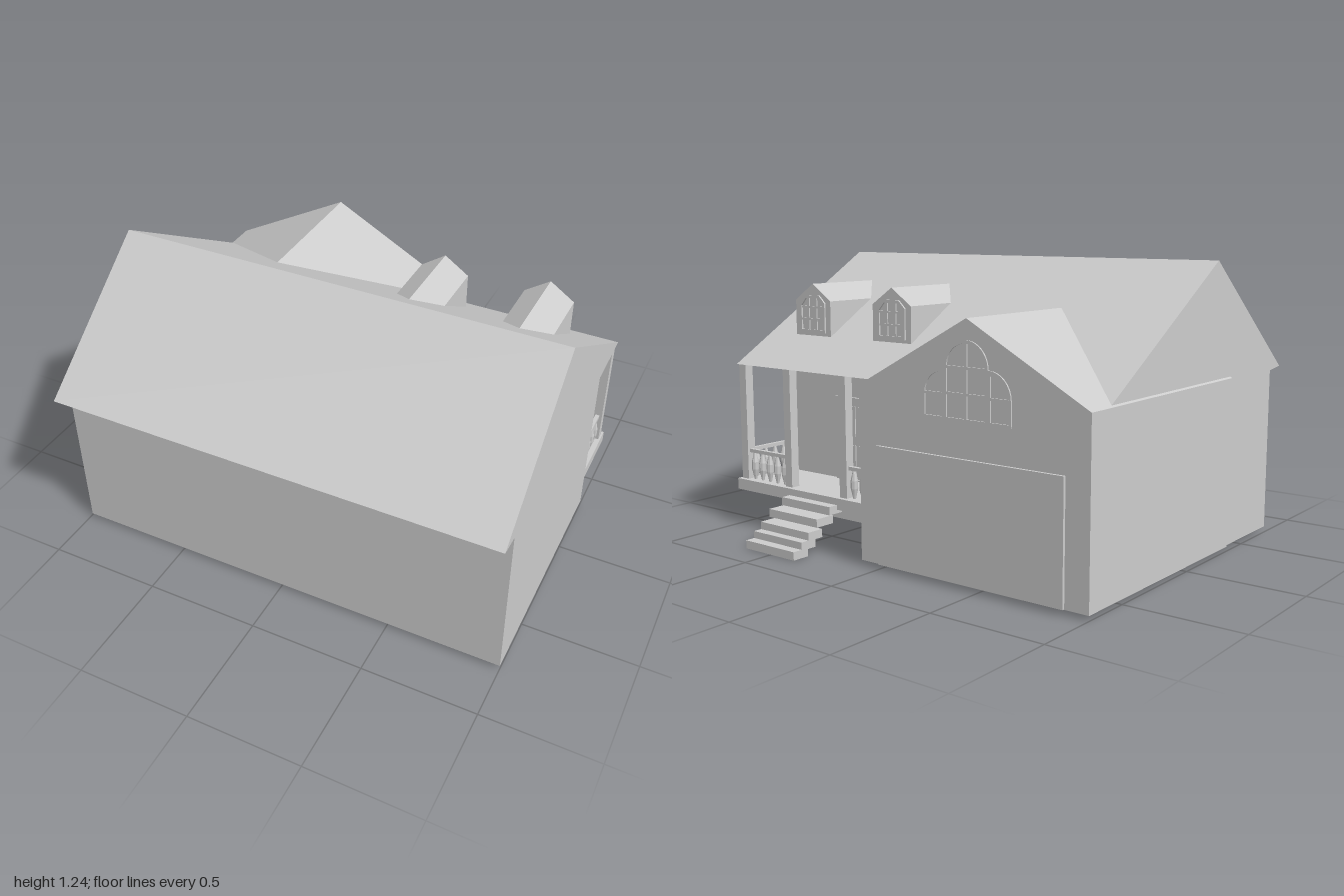
import * as THREE from 'three';

const mat = new THREE.MeshStandardMaterial({ color: 0xcccccc, flatShading: true, side: THREE.DoubleSide });

function add(parent, name, geo) {
  const m = new THREE.Mesh(geo, mat);
  m.name = name;
  parent.add(m);
  return m;
}

// Box given by its min/max on each axis
function box(parent, name, x0, x1, y0, y1, z0, z1) {
  const m = add(parent, name, new THREE.BoxGeometry(x1 - x0, y1 - y0, z1 - z0));
  m.position.set((x0 + x1) / 2, (y0 + y1) / 2, (z0 + z1) / 2);
  return m;
}

const poly = (pts) => new THREE.Shape(pts.map(([a, b]) => new THREE.Vector2(a, b)));

const extrude = (shape, depth) =>
  new THREE.ExtrudeGeometry(shape, { depth, bevelEnabled: false, curveSegments: 10 });

// (z, y) profile running along x
const alongX = (pts, x0, x1) =>
  extrude(poly(pts), x1 - x0).rotateY(-Math.PI / 2).translate(x1, 0, 0);

// (x, y) profile running along z
const alongZ = (shape, z0, z1) => extrude(shape, z1 - z0).translate(0, 0, z0);

// House-shaped outline: walls with a gable on top
const gable = (x0, x1, y0, eave, ridge) =>
  poly([[x0, y0], [x1, y0], [x1, eave], [(x0 + x1) / 2, ridge], [x0, eave]]);

// Flat frame: outline with an inner hole
function frame(parent, name, outer, inner, z0, z1) {
  outer.holes.push(inner);
  add(parent, name, alongZ(outer, z0, z1));
}

function arch(cx, r, y0, spring) {
  const s = new THREE.Shape();
  s.moveTo(cx - r, y0);
  s.lineTo(cx + r, y0);
  s.lineTo(cx + r, spring);
  s.absarc(cx, spring, r, 0, Math.PI, false);
  s.closePath();
  return s;
}

// Side light with a quarter-round top falling away from the centre
function quarter(xIn, dir, w, y0, spring) {
  const s = new THREE.Shape();
  s.moveTo(xIn, y0);
  s.lineTo(xIn + dir * w, y0);
  s.lineTo(xIn + dir * w, spring);
  for (let i = 1; i <= 8; i++) {
    const a = (i / 8) * Math.PI / 2;
    s.lineTo(xIn + dir * w * Math.cos(a), spring + w * Math.sin(a));
  }
  s.closePath();
  return s;
}

function dormer(cx) {
  const g = new THREE.Group();
  g.name = 'dormer';
  const z = -0.373, w = 0.11;
  add(g, 'dormerBody', alongZ(gable(cx - w, cx + w, 0.873, 1.035, 1.11), z, 0.018));
  // Window with a clipped top and 3 x 3 panes
  const outline = (e) => poly([[cx - 0.08 + e, 0.89 + e], [cx + 0.08 - e, 0.89 + e], [cx + 0.08 - e, 1.025 - e],
    [cx + 0.045 - e / 2, 1.058 - e], [cx - 0.045 + e / 2, 1.058 - e], [cx - 0.08 + e, 1.025 - e]]);
  frame(g, 'dormerWindowFrame', outline(0), outline(0.013), z - 0.008, z + 0.002);
  for (const s of [-1, 1]) {
    const x = cx + s * 0.024;
    box(g, 'dormerMuntin', x - 0.004, x + 0.004, 0.9, 1.048, z - 0.006, z + 0.002);
  }
  for (const y of [0.95, 1.005]) box(g, 'dormerMuntin', cx - 0.07, cx + 0.07, y - 0.004, y + 0.004, z - 0.006, z + 0.002);
  return g;
}

// Railing between two floor points, with turned balusters
function railing(xa, za, xb, zb, count) {
  const g = new THREE.Group();
  g.name = 'railing';
  const t = 0.009;
  box(g, 'handrail', Math.min(xa, xb) - t, Math.max(xa, xb) + t, 0.338, 0.354, Math.min(za, zb) - t, Math.max(za, zb) + t);
  const profile = [[0.006, 0], [0.009, 0.015], [0.016, 0.045], [0.016, 0.08], [0.009, 0.11], [0.006, 0.124]]
    .map(([r, y]) => new THREE.Vector2(r, y));
  const geo = new THREE.LatheGeometry(profile, 8);
  for (let i = 0; i < count; i++) {
    const f = (i + 0.5) / count;
    add(g, 'baluster', geo).position.set(xa + (xb - xa) * f, 0.215, za + (zb - za) * f);
  }
  return g;
}

export function createModel() {
  const house = new THREE.Group();
  house.name = 'house';

  // Main block and its roof
  box(house, 'mainWalls', -0.99, 1, 0.02, 0.737, -0.31, 0.76);
  add(house, 'mainRoof', alongX([[0.86, 0.745], [0.225, 1.235], [-0.59, 0.745], [-0.31, 0.735], [0.76, 0.735]], -0.99, 1));

  // Garage wing
  const garage = new THREE.Group();
  garage.name = 'garage';
  house.add(garage);
  const gz = -0.725;
  add(garage, 'garageBody', alongZ(gable(-1, 0.1, 0.02, 0.745, 1.04), gz, 0.36));
  box(garage, 'garageDoor', -0.895, 0, 0.022, 0.51, gz - 0.012, gz + 0.005);

  // Three-part arched window in the garage gable
  const cx = -0.45, z0 = gz - 0.006, z1 = gz + 0.002;
  frame(garage, 'archWindow', arch(cx, 0.105, 0.65, 0.855), arch(cx, 0.092, 0.663, 0.855), z0, z1);
  box(garage, 'archMullion', cx - 0.006, cx + 0.006, 0.655, 0.955, z0, z1);
  for (const y of [0.755, 0.855]) box(garage, 'archMuntin', cx - 0.1, cx + 0.1, y - 0.005, y + 0.005, z0, z1);
  for (const d of [-1, 1]) {
    frame(garage, 'sideLight', quarter(cx + d * 0.105, d, 0.105, 0.65, 0.75),
      quarter(cx + d * 0.115, d, 0.084, 0.663, 0.75), z0, z1);
    const x = cx + d * 0.16;
    box(garage, 'sideLightMuntin', x - 0.045, x + 0.045, 0.745, 0.755, z0, z1);
  }

  // Dormers
  for (const x of [0.24, 0.72]) house.add(dormer(x));

  // Porch floor, posts and railings
  const porch = new THREE.Group();
  porch.name = 'porch';
  house.add(porch);
  box(porch, 'porchFloor', 0.1, 1, 0.165, 0.215, -0.605, -0.31);
  const pz = -0.563, posts = [0.97, 0.68, 0.34];
  for (const x of posts) box(porch, 'porchPost', x - 0.021, x + 0.021, 0.215, 0.745, pz - 0.021, pz + 0.021);
  porch.add(railing(0.97, -0.32, 0.97, -0.54, 4));
  porch.add(railing(0.95, pz, 0.7, pz, 5));
  porch.add(railing(0.32, pz, 0.11, pz, 4));

  // Overlapping treads down from the porch
  const treads = [[0.185, -0.575, -0.65], [0.147, -0.63, -0.725], [0.1, -0.695, -0.775], [0.067, -0.735, -0.815], [0.036, -0.78, -0.86]];
  for (const [y, back, front] of treads) box(porch, 'step', 0.36, 0.655, y - 0.036, y, front, back);

  // Front door with raised panels and a knob
  const door = new THREE.Group();
  door.name = 'frontDoor';
  house.add(door);
  const rect = (x0, x1, y0, y1) => poly([[x0, y0], [x1, y0], [x1, y1], [x0, y1]]);
  frame(door, 'doorFrame', rect(0.38, 0.64, 0.215, 0.6), rect(0.4, 0.62, 0.22, 0.58), -0.325, -0.308);
  box(door, 'doorLeaf', 0.4, 0.62, 0.217, 0.58, -0.316, -0.308);
  for (const x of [0.42, 0.52]) {
    box(door, 'doorPanel', x, x + 0.08, 0.24, 0.38, -0.321, -0.312);
    box(door, 'doorPanel', x, x + 0.08, 0.42, 0.56, -0.321, -0.312);
  }
  add(door, 'doorKnob', new THREE.SphereGeometry(0.01, 10, 8)).position.set(0.41, 0.405, -0.337);
  const stem = add(door, 'knobStem', new THREE.CylinderGeometry(0.004, 0.004, 0.022, 8));
  stem.rotation.x = Math.PI / 2;
  stem.position.set(0.41, 0.405, -0.323);

  return house;
}
